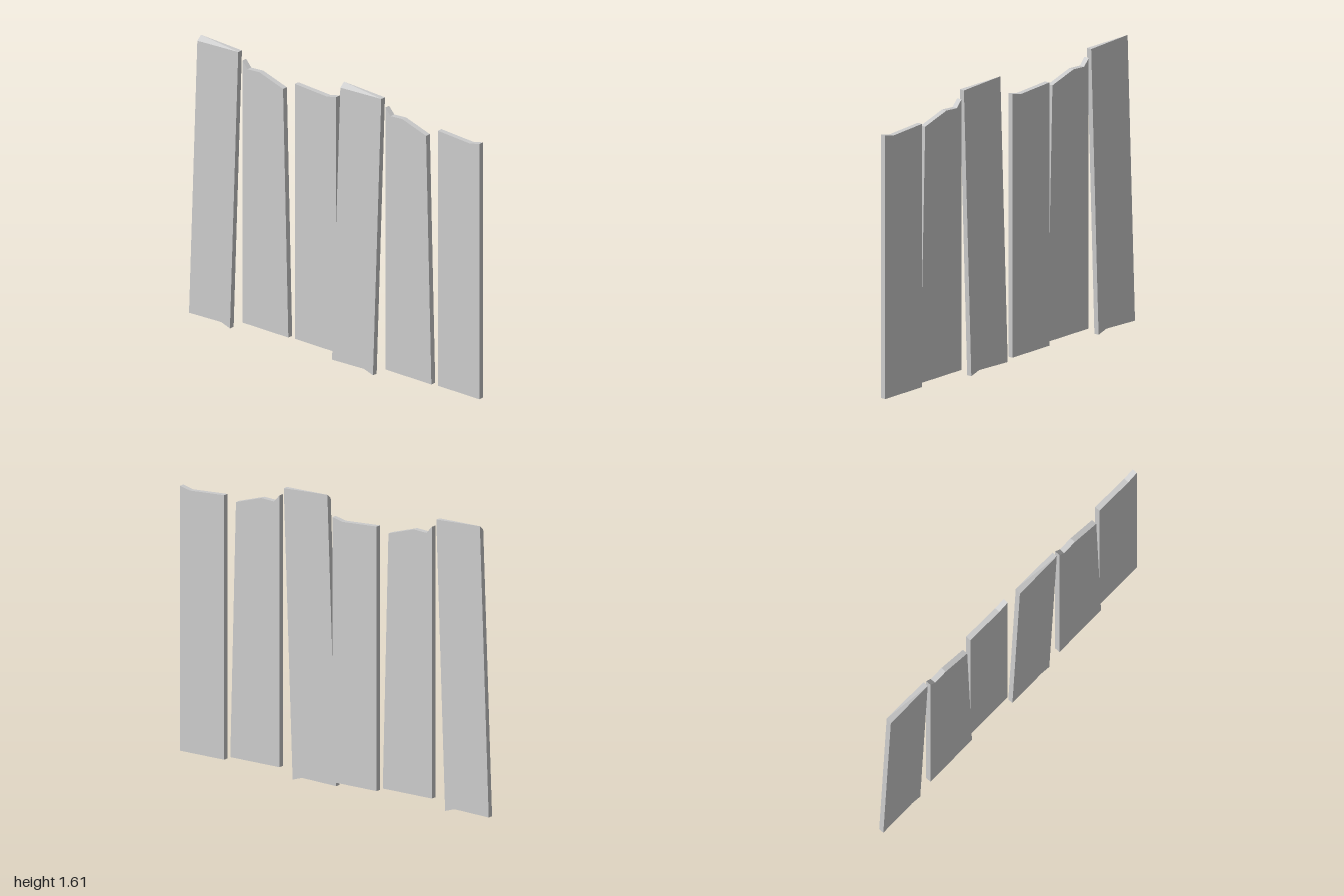
import * as THREE from 'three';

const material = new THREE.MeshStandardMaterial({ color: 0xcccccc, flatShading: true });

// Board outlines (x, y) counter-clockwise, with back and front depth
const boards = [
  {
    name: 'leaningPlank', back: 0.002, front: 0.032,
    outline: [[-1, 0.013], [-0.776, 0.02], [-0.714, 0], [-0.656, 1.597], [-0.942, 1.585]],
    backLift: 0.025, // last corner rises towards the back, giving a bevelled top
  },
  {
    name: 'splinteredPlank', back: -0.003, front: 0.028,
    outline: [[-0.631, 0.055], [-0.309, 0.055], [-0.346, 1.468], [-0.512, 1.519], [-0.595, 1.514], [-0.631, 1.554]],
  },
  {
    name: 'uprightPlank', back: -0.032, front: -0.002,
    outline: [[-0.29, 0.044], [0, 0.044], [0, 1.505], [-0.065, 1.49], [-0.29, 1.503]],
  },
];

function makePlank({ name, back, front, outline, backLift = 0 }) {
  const shape = new THREE.Shape(outline.map(([x, y]) => new THREE.Vector2(x, y)));
  const geometry = new THREE.ExtrudeGeometry(shape, { depth: front - back, bevelEnabled: false });
  const [cx, cy] = outline[outline.length - 1];
  const p = geometry.attributes.position;
  for (let i = 0; i < p.count; i++) {
    const atCorner = Math.hypot(p.getX(i) - cx, p.getY(i) - cy) < 1e-4;
    if (atCorner && p.getZ(i) < 1e-4) p.setY(i, cy + backLift);
  }
  geometry.translate(0, 0, back);
  geometry.computeVertexNormals();
  const mesh = new THREE.Mesh(geometry, material);
  mesh.name = name;
  return mesh;
}

export function createModel() {
  const model = new THREE.Group();
  model.name = 'plankFence';
  // The same three boards repeat side by side
  for (let i = 0; i < 2; i++) {
    const section = new THREE.Group();
    section.name = i ? 'leftSection' : 'rightSection';
    section.position.x = i;
    boards.forEach((board) => section.add(makePlank(board)));
    model.add(section);
  }
  return model;
}
